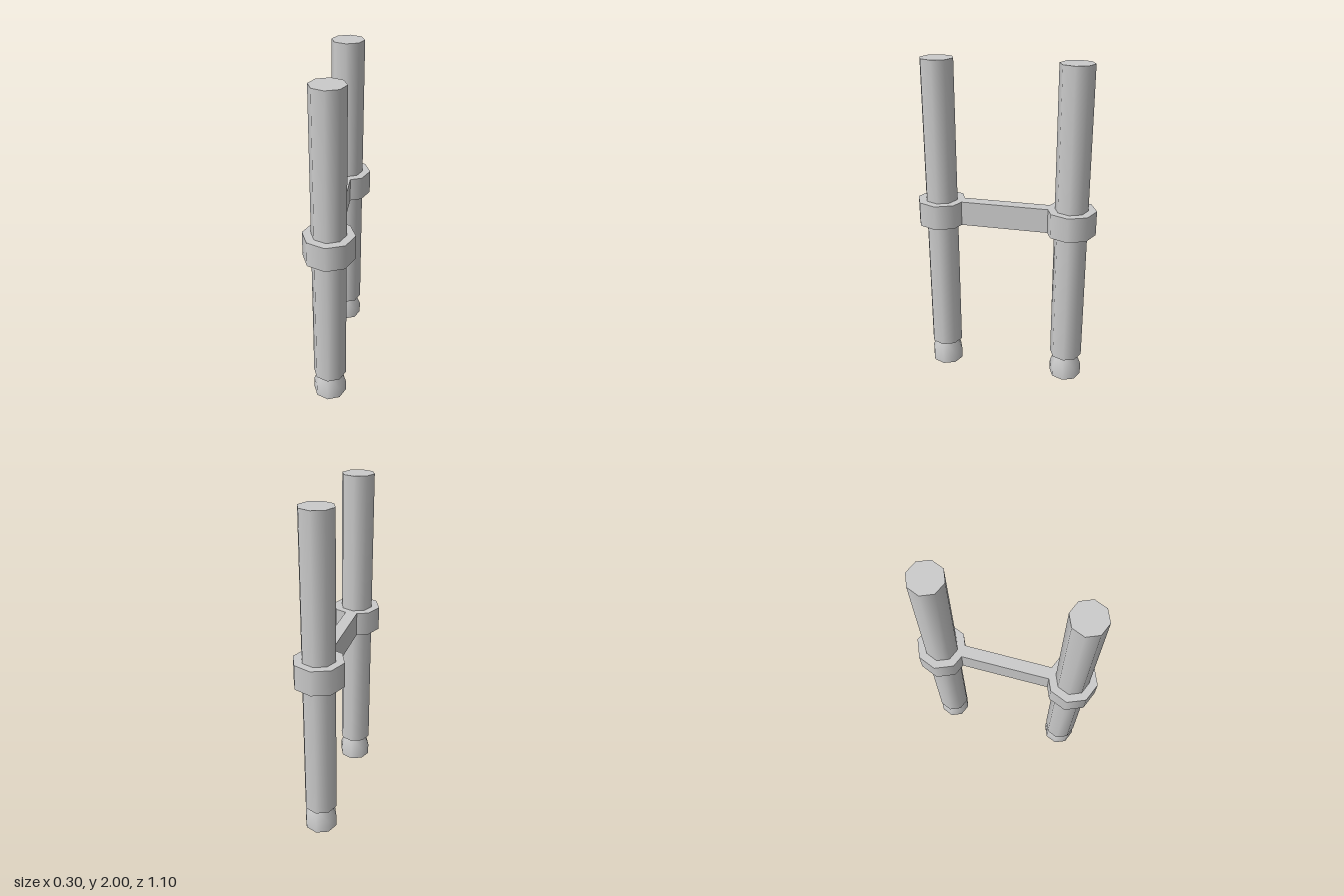
import * as THREE from 'three';
import { toCreasedNormals } from 'three/addons/utils/BufferGeometryUtils.js';

const SIDES = 8;
const material = new THREE.MeshStandardMaterial({ color: 0xcccccc });

function addPart(parent, name, geometry, y) {
  const mesh = new THREE.Mesh(geometry, material);
  mesh.name = name;
  mesh.position.y = y;
  parent.add(mesh);
  return mesh;
}

export function createModel() {
  const model = new THREE.Group();
  model.name = 'twinPoles';

  // Foot: short straight base tapering into a neck under the pole
  const footProfile = [[0, 0], [0.1, 0], [0.1, 0.075], [0.07, 0.15]]
    .map(([r, y]) => new THREE.Vector2(r, y));
  const footGeometry = toCreasedNormals(new THREE.LatheGeometry(footProfile, SIDES), 0.9);
  const poleGeometry = new THREE.CylinderGeometry(0.1, 0.1, 1.85, SIDES);
  const collarGeometry = new THREE.CylinderGeometry(0.15, 0.15, 0.15, SIDES);

  // Two identical uprights, front and back
  for (const [name, z] of [['frontUpright', 0.4], ['backUpright', -0.4]]) {
    const upright = new THREE.Group();
    upright.name = name;
    upright.position.z = z;
    addPart(upright, 'foot', footGeometry, 0);
    addPart(upright, 'pole', poleGeometry, 1.075);
    addPart(upright, 'collar', collarGeometry, 1.075);
    model.add(upright);
  }

  // Cross bar, its ends buried in the collars
  addPart(model, 'crossBar', new THREE.BoxGeometry(0.074, 0.15, 0.56), 1.075);

  return model;
}
